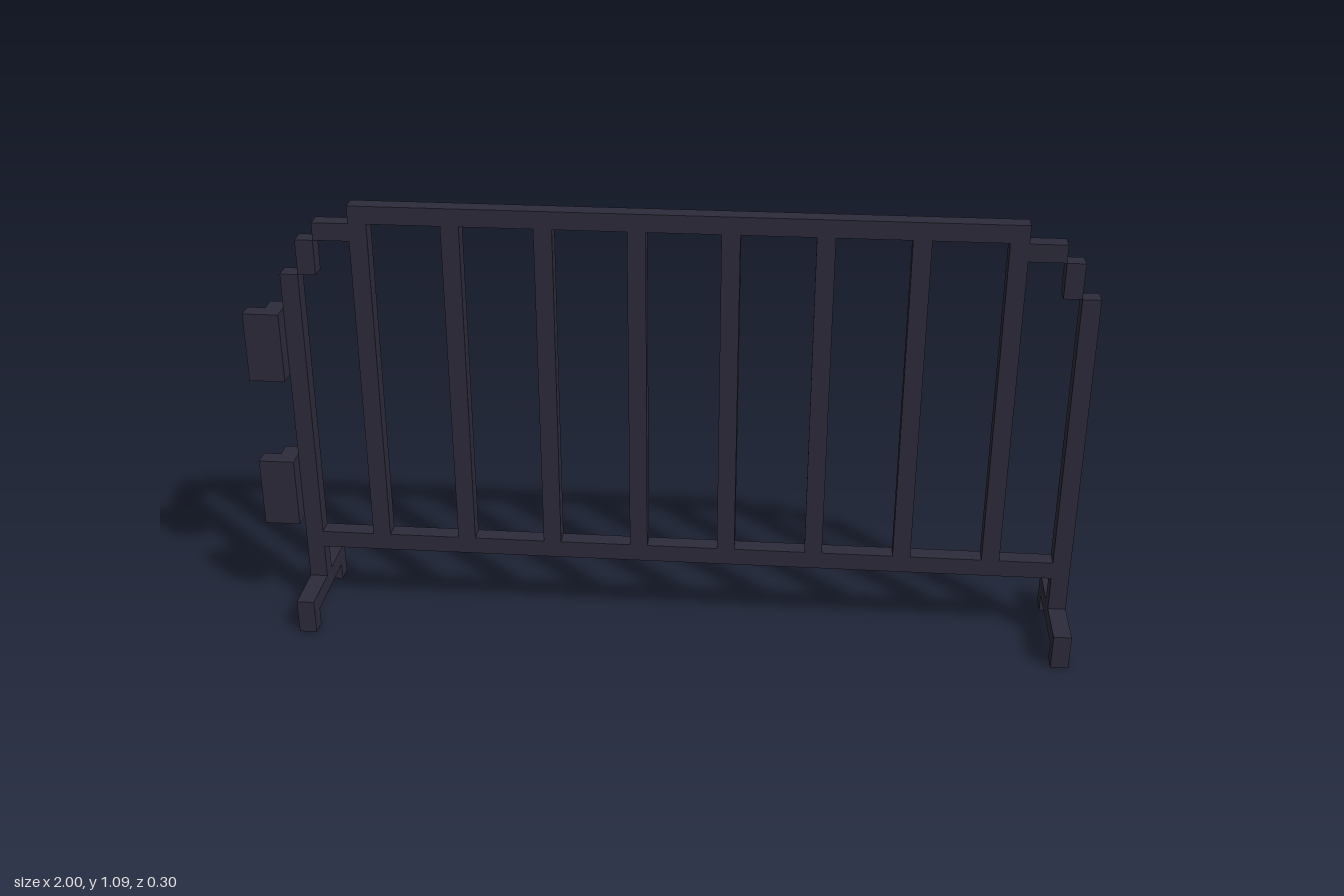
import * as THREE from 'three';

// Everything sits on a grid of U, the thickness of one bar.
const U = 2 / 46;

export function createModel() {
  const model = new THREE.Group();
  model.name = 'crowdBarrier';
  const steel = new THREE.MeshStandardMaterial({ color: 0x2c2b3a });
  steel.name = 'darkSteel';

  // Box between two corners given in grid units.
  const bar = (parent, name, x0, x1, y0, y1, z0 = -0.5, z1 = 0.5) => {
    const geo = new THREE.BoxGeometry((x1 - x0) * U, (y1 - y0) * U, (z1 - z0) * U);
    const mesh = new THREE.Mesh(geo, steel);
    mesh.name = name;
    mesh.position.set((x0 + x1) / 2 * U, (y0 + y1) / 2 * U, (z0 + z1) / 2 * U);
    parent.add(mesh);
  };
  const group = (name) => {
    const g = new THREE.Group();
    g.name = name;
    model.add(g);
    return g;
  };

  // The frame is symmetric about x = 1; the hinges stick out on one side.
  const frame = group('frame');
  frame.position.x = U;
  bar(frame, 'topRail', -18, 18, 24, 25);
  bar(frame, 'bottomRail', -21, 21, 4, 5);
  for (let i = 0; i < 8; i++) {
    const x = -18 + i * 5;
    bar(frame, 'uprightBar', x, x + 1, 5, 24);
  }

  // End posts, stepped corners and feet, mirrored.
  for (const [side, s] of [['left', 1], ['right', -1]]) {
    const end = group(side + 'End');
    end.position.x = U;
    const span = (name, a, b, ...rest) =>
      bar(end, name, Math.min(a * s, b * s), Math.max(a * s, b * s), ...rest);
    span('post', 21, 22, 2, 21);
    span('lowerCornerStep', 20, 21, 21, 23);
    span('upperCornerStep', 18, 20, 23, 24);
    span('footBar', 21, 22, 1, 2, -3.5, 3.5);
    span('frontFoot', 21, 22, 0, 1, 2.5, 3.5);
    span('backFoot', 21, 22, 0, 1, -3.5, -2.5);
  }

  // Two linking brackets on the right post.
  for (const y of [6, 15]) {
    const bracket = group('linkBracket');
    bar(bracket, 'bracketArm', -22, -21, y, y + 4);
    bar(bracket, 'bracketPlate', -23, -21, y, y + 4, 0.5, 1.5);
  }
  return model;
}
